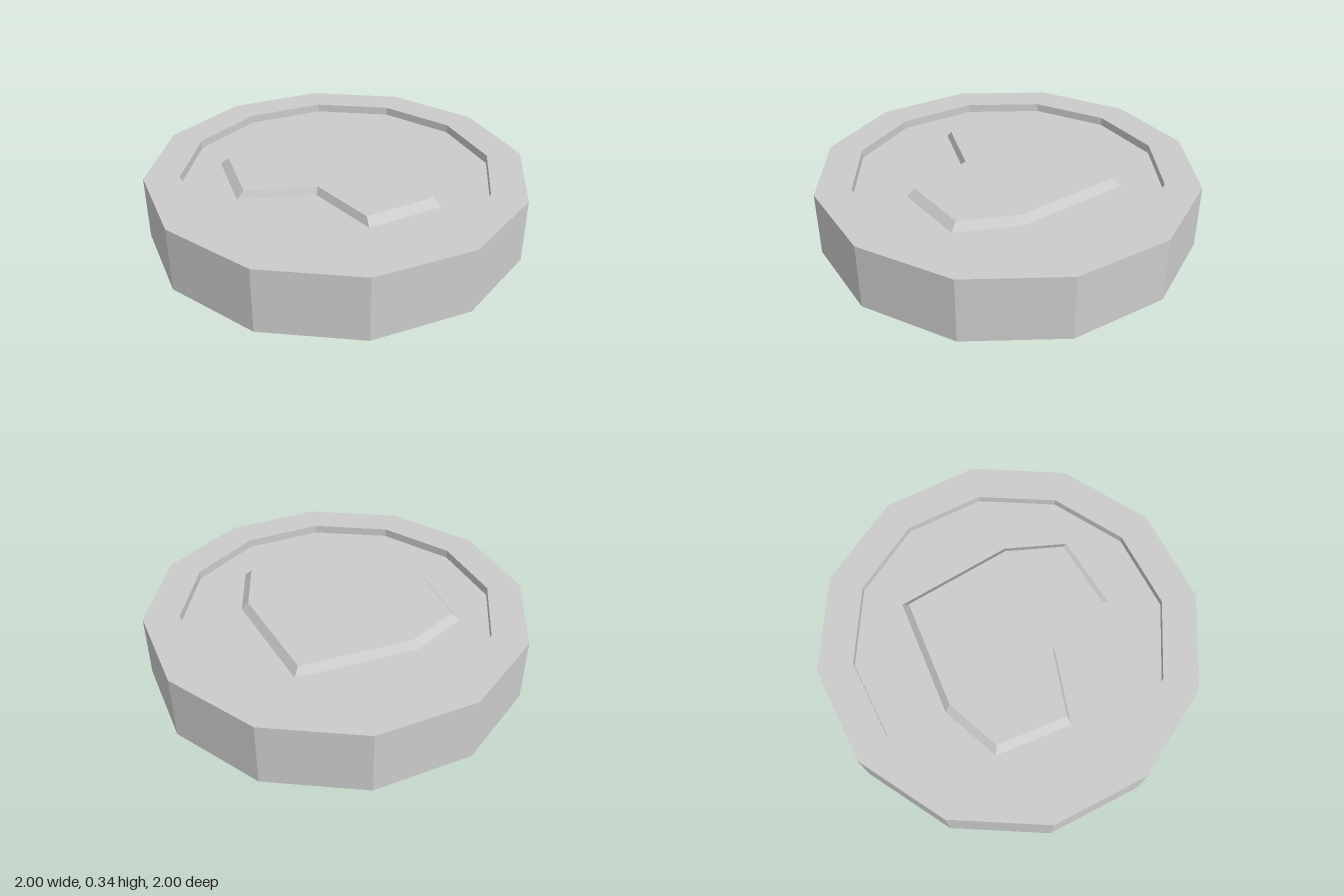
import * as THREE from 'three';

const HEIGHT = 0.34;
const RECESS = 0.045;
const FLOOR = HEIGHT - RECESS;

export function createModel() {
  const group = new THREE.Group();
  const material = new THREE.MeshStandardMaterial({ color: 0xcccccc, flatShading: true });

  // Twelve-sided disc with a shallow recess in both faces
  const profile = [
    [0, RECESS], [0.815, RECESS], [0.815, 0], [1, 0],
    [1, HEIGHT], [0.815, HEIGHT], [0.815, FLOOR], [0, FLOOR],
  ].map(([r, y]) => new THREE.Vector2(r, y));
  const disc = new THREE.Mesh(new THREE.LatheGeometry(profile, 12), material);
  disc.name = 'disc';
  group.add(disc);

  // Raised pointed emblem: half outline as (x, z), mirrored
  const half = [[0.482, -0.18], [0.613, 0.13], [0.35, 0.44]];
  const outline = [
    [0, -0.593], ...half, [0, 0.25],
    ...half.map(([x, z]) => [-x, z]).reverse(),
  ].map(([x, z]) => new THREE.Vector2(x, -z));
  const geometry = new THREE.ExtrudeGeometry(new THREE.Shape(outline), {
    depth: 0.04, bevelEnabled: false,
  });
  geometry.rotateX(-Math.PI / 2);

  // Shrink the top outline so the sides slope
  const pos = geometry.attributes.position;
  for (let i = 0; i < pos.count; i++) {
    if (pos.getY(i) > 0.02) {
      pos.setX(i, pos.getX(i) * 0.93);
      pos.setZ(i, pos.getZ(i) * 0.93);
    }
  }
  geometry.computeVertexNormals();
  const emblem = new THREE.Mesh(geometry, material);
  emblem.name = 'emblem';
  emblem.position.set(-0.012, FLOOR, 0);
  group.add(emblem);

  return group;
}
